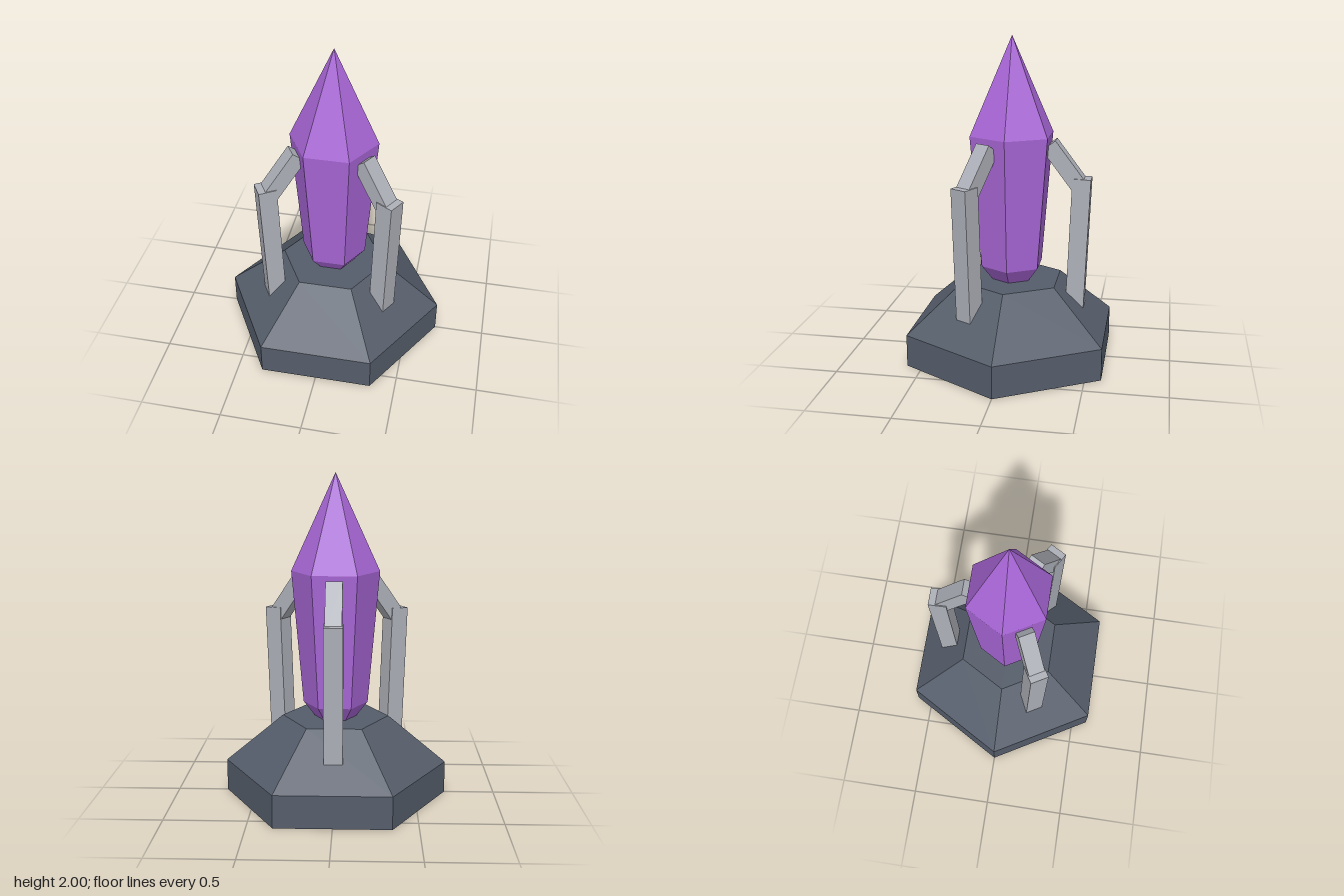
import * as THREE from 'three';

const stone = new THREE.MeshStandardMaterial({ color: 0x555d6a, flatShading: true });
stone.name = 'slate grey';
const purple = new THREE.MeshStandardMaterial({ color: 0xa866d6, flatShading: true });
purple.name = 'crystal purple';
const metal = new THREE.MeshStandardMaterial({ color: 0xadb0b8, flatShading: true });
metal.name = 'light metal grey';

// Six-sided turned solid with corners on the x axis; profile is [radius, y] from bottom to top
function hexSolid(name, profile, material) {
  const points = profile.map(([r, y]) => new THREE.Vector2(r, y));
  const mesh = new THREE.Mesh(new THREE.LatheGeometry(points, 6, Math.PI / 6), material);
  mesh.name = name;
  return mesh;
}

// Square bar in the back (-z) plane between two [radius, y] points
function bar(name, [r0, y0], [r1, y1], size) {
  const length = Math.hypot(r1 - r0, y1 - y0);
  const mesh = new THREE.Mesh(new THREE.BoxGeometry(size, length, size), metal);
  mesh.position.set(0, (y0 + y1) / 2, -(r0 + r1) / 2);
  mesh.rotation.x = Math.atan2(r0 - r1, y1 - y0);
  mesh.name = name;
  return mesh;
}

export function createModel() {
  const model = new THREE.Group();
  model.name = 'crystalPedestal';

  // Hexagonal base with sloping shoulders
  model.add(hexSolid('base', [[0, 0], [0.69, 0], [0.69, 0.2], [0.33, 0.5], [0, 0.5]], stone));

  // Pointed crystal standing on the base
  model.add(hexSolid('crystal', [[0, 0.48], [0.115, 0.48], [0.2, 0.59], [0.27, 1.41], [0, 2]], purple));

  // Three claws: a slightly leaning post and an arm gripping the crystal
  for (let i = 0; i < 3; i++) {
    const claw = new THREE.Group();
    claw.name = 'claw' + (i + 1);
    claw.add(bar('clawPost', [0.397, 0.25], [0.431, 1.155], 0.112));
    claw.add(bar('clawArm', [0.43, 1.09], [0.23, 1.355], 0.1));
    claw.rotation.y = (i * Math.PI * 2) / 3;
    model.add(claw);
  }
  return model;
}
